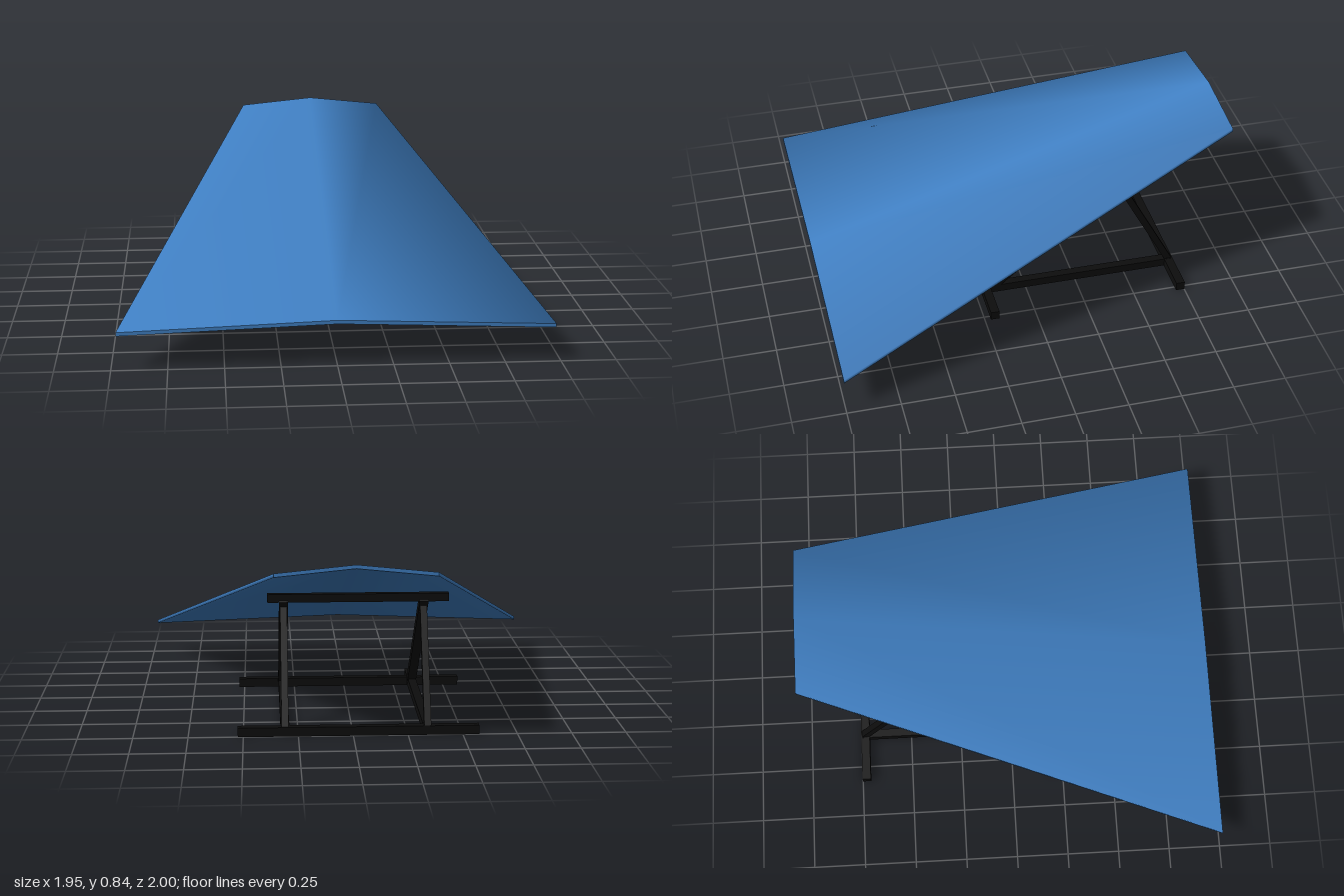
import * as THREE from 'three';

const blue = new THREE.MeshStandardMaterial({ color: 0x4080c4 });
blue.name = 'panelBlue';
const black = new THREE.MeshStandardMaterial({ color: 0x0d0d0d });
black.name = 'frameBlack';

// Square bar running between two points
function bar(name, from, to, width) {
  const a = new THREE.Vector3(...from), b = new THREE.Vector3(...to);
  const mesh = new THREE.Mesh(new THREE.BoxGeometry(width, width, a.distanceTo(b)), black);
  mesh.name = name;
  mesh.position.copy(a).add(b).multiplyScalar(0.5);
  mesh.lookAt(b);
  return mesh;
}

// Thin ridged cross-section, clockwise as seen from the front
function section(halfWidth, ridgeY, z) {
  const edge = ridgeY - 0.036, t = 0.017;
  return [
    [-halfWidth, edge, z], [0, ridgeY, z], [halfWidth, edge, z],
    [halfWidth, edge - t, z], [0, ridgeY - t, z], [-halfWidth, edge - t, z],
  ].map((p) => new THREE.Vector3(...p));
}

function geometry(points, index, normals) {
  const g = new THREE.BufferGeometry().setFromPoints(points);
  g.setIndex(index);
  if (normals) {
    g.setAttribute('normal', new THREE.Float32BufferAttribute(normals.flatMap((n) => n.toArray()), 3));
  } else g.computeVertexNormals();
  return g;
}

function createPanel() {
  const group = new THREE.Group();
  group.name = 'slopingPanel';
  const front = section(0.975, 0.212, 1), back = section(0.358, 0.836, -1);
  const points = [...front, ...back];
  const normals = points.map(() => new THREE.Vector3());
  const index = [];

  // Skin around the section, each face weighing equally in the soft normals
  for (let i = 0; i < 6; i++) {
    const j = (i + 1) % 6;
    index.push(i, j, j + 6, i, j + 6, i + 6);
    const n = points[j + 6].clone().sub(points[i])
      .cross(points[i + 6].clone().sub(points[j])).normalize();
    [i, j, i + 6, j + 6].forEach((k) => normals[k].add(n));
  }
  normals.forEach((n) => n.normalize());
  const skin = new THREE.Mesh(geometry(points, index, normals), blue);
  skin.name = 'panelSkin';
  group.add(skin);

  // Flat ends
  const cap = [0, 5, 4, 0, 4, 1, 1, 4, 3, 1, 3, 2];
  const frontEnd = new THREE.Mesh(geometry(front, cap), blue);
  frontEnd.name = 'panelFrontEnd';
  const backEnd = new THREE.Mesh(geometry(back, [...cap].reverse()), blue);
  backEnd.name = 'panelBackEnd';
  group.add(frontEnd, backEnd);
  return group;
}

function createStand() {
  const group = new THREE.Group();
  group.name = 'stand';

  // Cross bars on the ground and under the panel
  group.add(
    bar('frontCrossBar', [-0.575, 0.022, 0.2], [0.525, 0.022, 0.2], 0.042),
    bar('backCrossBar', [-0.575, 0.022, -0.73], [0.525, 0.022, -0.73], 0.042),
    bar('topCrossBar', [-0.455, 0.59, -0.485], [0.385, 0.59, -0.485], 0.038),
  );

  // Two side frames: runner, long front strut, short back strut
  for (const [side, x] of [['right', -0.34], ['left', 0.31]]) {
    group.add(
      bar(side + 'Runner', [x, 0.024, -0.75], [x, 0.024, 0.35], 0.04),
      bar(side + 'FrontStrut', [x, 0.03, 0.175], [x, 0.59, -0.495], 0.042),
      bar(side + 'BackStrut', [x, 0.03, -0.735], [x, 0.595, -0.43], 0.032),
    );
  }
  return group;
}

export function createModel() {
  const model = new THREE.Group();
  model.name = 'rampOnStand';
  model.add(createPanel(), createStand());
  return model;
}
